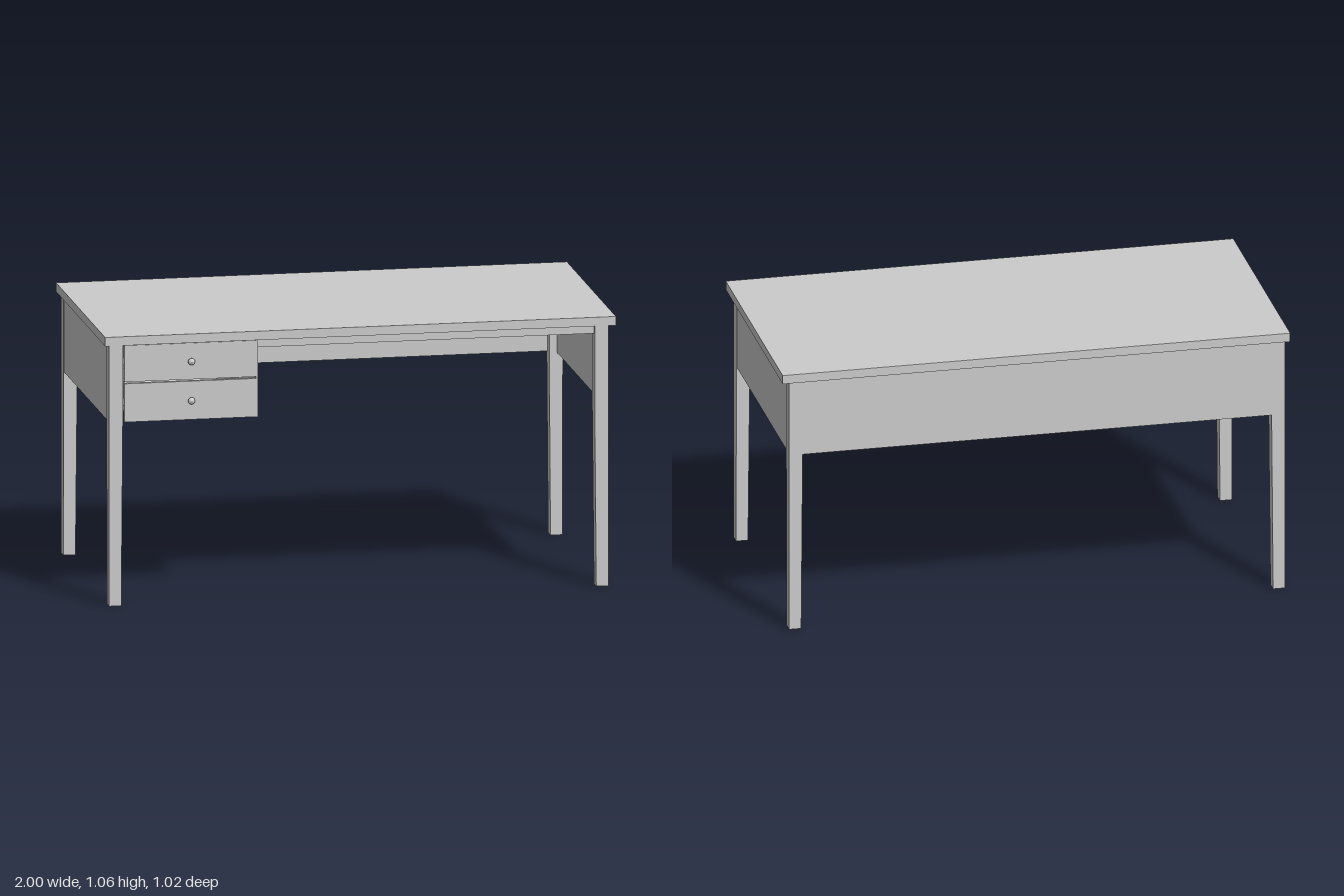
import * as THREE from 'three';

const material = new THREE.MeshStandardMaterial({ color: 0xcccccc });

// Box given by its min and max along each axis
function box(parent, name, [x0, x1], [y0, y1], [z0, z1]) {
  const mesh = new THREE.Mesh(new THREE.BoxGeometry(x1 - x0, y1 - y0, z1 - z0), material);
  mesh.position.set((x0 + x1) / 2, (y0 + y1) / 2, (z0 + z1) / 2);
  mesh.name = name;
  parent.add(mesh);
  return mesh;
}

// Square leg: outer faces upright, inner faces tapering below the apron
function makeLeg(sx, sz) {
  const top = 1.025, apron = 0.72, size = 0.053, taper = 0.006;
  const geo = new THREE.BoxGeometry(size, top, size, 1, 2, 1);
  geo.translate(0, top / 2, 0);
  const p = geo.attributes.position;
  for (let i = 0; i < p.count; i++) {
    const y = p.getY(i);
    if (y > 0.01 && y < top - 0.01) p.setY(i, apron);
    if (y < 0.01) {
      if (p.getX(i) * sx < 0) p.setX(i, p.getX(i) + sx * taper);
      if (p.getZ(i) * sz < 0) p.setZ(i, p.getZ(i) + sz * taper);
    }
  }
  geo.computeVertexNormals();
  const leg = new THREE.Mesh(geo, material);
  leg.position.set(-0.006 + sx * (0.977 - size / 2), 0, -0.005 + sz * (0.49 - size / 2));
  leg.name = (sz > 0 ? 'front' : 'back') + (sx > 0 ? 'Left' : 'Right') + 'Leg';
  return leg;
}

// Round knob turned on a lathe, pointing to +z
function makeKnob() {
  const profile = [[0.008, 0], [0.006, 0.003], [0.005, 0.009], [0.008, 0.011],
    [0.0135, 0.013], [0.0135, 0.017], [0.01, 0.022], [0, 0.025]];
  const geo = new THREE.LatheGeometry(profile.map(([r, h]) => new THREE.Vector2(r, h)), 20);
  geo.rotateX(Math.PI / 2);
  const knob = new THREE.Mesh(geo, material);
  knob.name = 'knob';
  return knob;
}

// Open drawer box with a front panel and knob
function makeDrawer(name, y0, y1) {
  const g = new THREE.Group();
  g.name = name;
  const back = -0.2, face = 0.466, low = y0 + 0.008, high = y1 - 0.035;
  box(g, 'drawerFront', [-0.924, -0.409], [y0, y1], [face, 0.484]);
  box(g, 'drawerBottom', [-0.89, -0.43], [low, low + 0.008], [back, face]);
  box(g, 'drawerBack', [-0.89, -0.43], [low, high], [back - 0.012, back]);
  for (const x of [-0.89, -0.442])
    box(g, 'drawerSide', [x, x + 0.012], [low, high], [back, face]);
  const knob = makeKnob();
  knob.position.set(-0.663, (y0 + y1) / 2 + 0.001, 0.483);
  g.add(knob);
  return g;
}

export function createModel() {
  const desk = new THREE.Group();
  desk.name = 'desk';

  box(desk, 'tabletop', [-1, 1], [1.025, 1.06], [-0.51, 0.49]);
  for (const sx of [-1, 1]) for (const sz of [-1, 1]) desk.add(makeLeg(sx, sz));

  // Deep aprons at the sides and back
  box(desk, 'leftApron', [0.948, 0.968], [0.72, 1.025], [-0.445, 0.434]);
  box(desk, 'rightApron', [-0.98, -0.96], [0.72, 1.025], [-0.445, 0.434]);
  box(desk, 'backApron', [-0.932, 0.92], [0.72, 1.025], [-0.493, -0.473]);

  // Rails under the top across the knee space
  box(desk, 'frontRail', [-0.406, 0.92], [0.993, 1.025], [0.443, 0.472]);
  box(desk, 'middleRail', [-0.406, 0.95], [0.937, 1.025], [0.195, 0.215]);

  // Drawer pedestal: inner wall, cross bars, runners and drawers
  const pedestal = new THREE.Group();
  pedestal.name = 'pedestal';
  desk.add(pedestal);
  box(pedestal, 'innerWall', [-0.408, -0.4], [0.722, 1.025], [-0.475, 0.484]);
  for (const z of [-0.32, 0.25])
    box(pedestal, 'crossBar', [-0.962, -0.406], [0.721, 0.729], [z, z + 0.03]);
  for (const y of [0.76, 0.92]) for (const x of [-0.962, -0.428])
    box(pedestal, 'runner', [x, x < -0.9 ? -0.892 : -0.407], [y, y + 0.015], [-0.44, 0.43]);
  pedestal.add(makeDrawer('lowerDrawer', 0.722, 0.873));
  pedestal.add(makeDrawer('upperDrawer', 0.88, 1.023));

  return desk;
}
